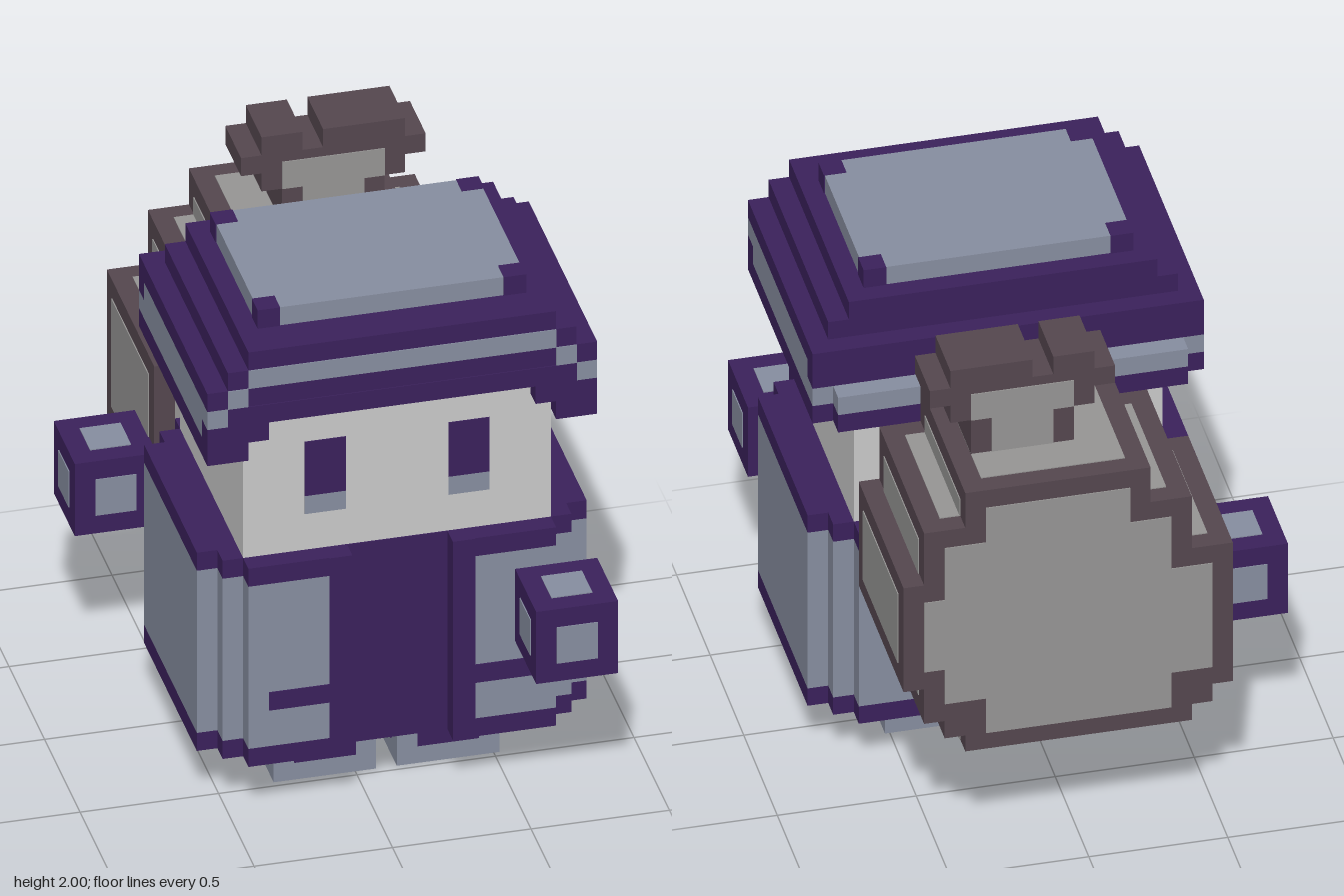
import * as THREE from 'three';

const U = 2 / 27; // one voxel
const T = 0.05;   // plate thickness in voxels

const colours = { purple: 0x3b215c, slate: 0x878ea0, face: 0xcacaca, brown: 0x55474f, sack: 0x979695 };

export function createModel() {
  const mats = {};
  for (const [name, hex] of Object.entries(colours)) {
    mats[name] = new THREE.MeshStandardMaterial({ color: hex });
    mats[name].name = name;
  }
  const root = new THREE.Group();
  root.name = 'hoodedTraveller';
  const part = (name) => {
    const g = new THREE.Group();
    g.name = name;
    root.add(g);
    return g;
  };

  // Box between two corners, in voxels
  const box = (g, name, mat, x0, x1, y0, y1, z0, z1) => {
    const m = new THREE.Mesh(new THREE.BoxGeometry((x1 - x0) * U, (y1 - y0) * U, (z1 - z0) * U), mats[mat]);
    m.position.set((x0 + x1) / 2 * U, (y0 + y1) / 2 * U, (z0 + z1) / 2 * U);
    m.name = name;
    g.add(m);
  };
  // Thin plates lying on a plane of constant x, y or z
  const plateX = (g, n, mat, x, y0, y1, z0, z1) => box(g, n, mat, x - T, x + T, y0, y1, z0, z1);
  const plateY = (g, n, mat, y, x0, x1, z0, z1) => box(g, n, mat, x0, x1, y - T, y + T, z0, z1);
  const plateZ = (g, n, mat, z, x0, x1, y0, y1) => box(g, n, mat, x0, x1, y0, y1, z - T, z + T);

  // Feet with dark panels
  for (const x of [-4, 2]) {
    const g = part('foot');
    box(g, 'shoe', 'slate', x, x + 5, 0.05, 3, -1.5, 6.5);
    for (const z of [-1.5, 6.5]) plateZ(g, 'shoePanel', 'purple', z, x + 1, x + 4, 1, 3);
    for (const sx of [x, x + 5]) plateX(g, 'shoePanel', 'purple', sx, 1, 3, -0.5, 5.5);
    plateY(g, 'sole', 'purple', 0.05, x + 1, x + 4, -0.5, 5.5);
  }

  // Robe: stepped plan, stacked as hem, cloth and collar
  const robe = part('robe');
  const plan = [
    [-8, 11, -2.5, 7.5], [-7, 10, -3.5, 8.5], [-6, 9, -4.5, -3.5], [-6, -1, 8.5, 9.5], [4, 9, 8.5, 9.5],
  ];
  for (const [name, mat, y0, y1] of [['hem', 'purple', 3, 4], ['cloth', 'slate', 4, 13], ['collar', 'purple', 13, 14]])
    for (const [x0, x1, z0, z1] of plan) box(robe, name, mat, x0, x1, y0, y1, z0, z1);
  plateZ(robe, 'frontOpening', 'purple', 8.5, -1, 4, 3, 14);
  for (const x of [-2, 4]) box(robe, 'frontEdging', 'purple', x - T, x + 1 + T, 3, 14, 8.5, 9.5 + T);
  for (const x of [-5, 5]) plateZ(robe, 'pocket', 'purple', 9.5, x + (x < 0 ? -0.0 : 0), x + 3, 6, 7);

  // Head and eyes
  const head = part('head');
  box(head, 'skull', 'face', -6, 9, 14, 22, -3.5, 8.5);
  for (const x of [-3, 4]) {
    plateZ(head, 'eye', 'purple', 8.5, x, x + 2, 17, 20);
    plateZ(head, 'eyeShade', 'slate', 8.5, x, x + 2, 16, 17);
  }

  // Hat: arched layers from crown to rim
  const hat = part('hat');
  box(hat, 'crown', 'slate', -5, 8, 26, 27, -1.5, 7.5);
  for (const x of [-5, 7]) for (const z of [-1.5, 6.5])
    box(hat, 'crownCorner', 'purple', x - T, x + 1 + T, 26, 27 + T / 2, z - T, z + 1 + T);
  box(hat, 'upperLayer', 'purple', -6, 9, 25, 26, -2.5, 9.5);
  box(hat, 'middleLayer', 'purple', -7, 10, 24, 25, -2.5, 9.5);
  plateZ(hat, 'frontBand', 'slate', 9.5, -6, 9, 24, 25);
  box(hat, 'lowerLayer', 'purple', -8, 11, 23, 24, -3.5, 9.5);
  box(hat, 'bandLayer', 'slate', -8, 11, 22, 23, -2.5, 9.5);
  plateZ(hat, 'browTrim', 'purple', 9.5, -7, 10, 22, 23);
  box(hat, 'backTrim', 'purple', -8, 11, 22, 23, -3.5, -2.5);
  box(hat, 'backBand', 'slate', -7, 10, 21, 22, -4.5, -3.5);
  box(hat, 'backRim', 'purple', -7, 10, 20, 21, -4.5, -3.5);
  for (const [out, x0, x1, f0, f1] of [[-7, -8, -6, -8, -5], [9, 9, 11, 8, 11]]) {
    plateZ(hat, 'frontBandStep', 'slate', 9.5, out, out + 1, 23, 24);
    box(hat, 'sideBand', 'slate', x0, x1, 21, 22, -3.5, 8.5);
    box(hat, 'frontCorner', 'purple', f0, f1, 21, 22, 8.5, 9.5);
    box(hat, 'sideRim', 'purple', x0, x1, 20, 21, -3.5, 9.5);
  }

  // Hands: cubes with a light panel on every face
  for (const [name, x, y, z] of [['leftHand', 7, 8, 9.5], ['rightHand', -11, 8.5, -8]]) {
    const g = part(name);
    box(g, 'fist', 'purple', x, x + 4, y, y + 4, z, z + 4);
    for (const d of [0, 4]) {
      plateX(g, 'fistPanel', 'slate', x + d, y + 1, y + 3, z + 1, z + 3);
      plateY(g, 'fistPanel', 'slate', y + d, x + 1, x + 3, z + 1, z + 3);
      plateZ(g, 'fistPanel', 'slate', z + d, x + 1, x + 3, y + 1, y + 3);
    }
  }

  // Sack: stepped rows with light panels
  const sack = part('sack');
  const rows = [[-5, 6, 7.08, 8], [-6, 7, 8, 9], [-7, 8, 9, 11], [-7, 9, 11, 17], [-5, 8, 17, 20], [-3, 6, 20, 22]];
  for (const [x0, x1, y0, y1] of rows) box(sack, 'sackRow', 'brown', x0, x1, y0, y1, -13.5, -4.5);
  for (const z of [-13.5, -4.5])
    for (const [x0, x1, y0, y1] of [[-6, 8, 12, 16], [-6, 7, 10, 16], [-4, 7, 10, 19], [-4, 5, 8, 19], [-2, 5, 8, 21]])
      plateZ(sack, 'sackPanel', 'sack', z, x0, x1, y0, y1);
  for (const [x, y0, y1] of [[9, 12, 16], [8, 17, 19], [8, 10, 11], [6, 20, 21], [6, 7.1, 8], [-7, 10, 16], [-5, 17, 19], [-3, 20, 21]])
    plateX(sack, 'sackSidePanel', 'sack', x, y0, y1, -12.5, -5.5);
  for (const [y, x0, x1] of [[22, -2, 5], [20, 6, 7], [20, -4, -3], [17, -6, -5], [7.08, -4, 5]])
    plateY(sack, 'sackStepPanel', 'sack', y, x0, x1, -12.5, -5.5);

  // Tied neck of the sack, flaring upwards
  const knot = part('sackKnot');
  for (const [x0, x1, y0, y1] of [[0, 5, 22, 24], [-1, 6, 24, 25], [-2, 7, 25, 26], [-1, 1, 26, 27], [2, 6, 26, 27]])
    box(knot, 'knotRow', 'brown', x0, x1, y0, y1, -10.5, -7.5);
  for (const z of [-10.5, -7.5]) {
    plateZ(knot, 'knotPanel', 'sack', z, 1, 4, 22, 24);
    plateZ(knot, 'knotPanel', 'sack', z, 0, 5, 24, 25.5);
  }
  return root;
}
